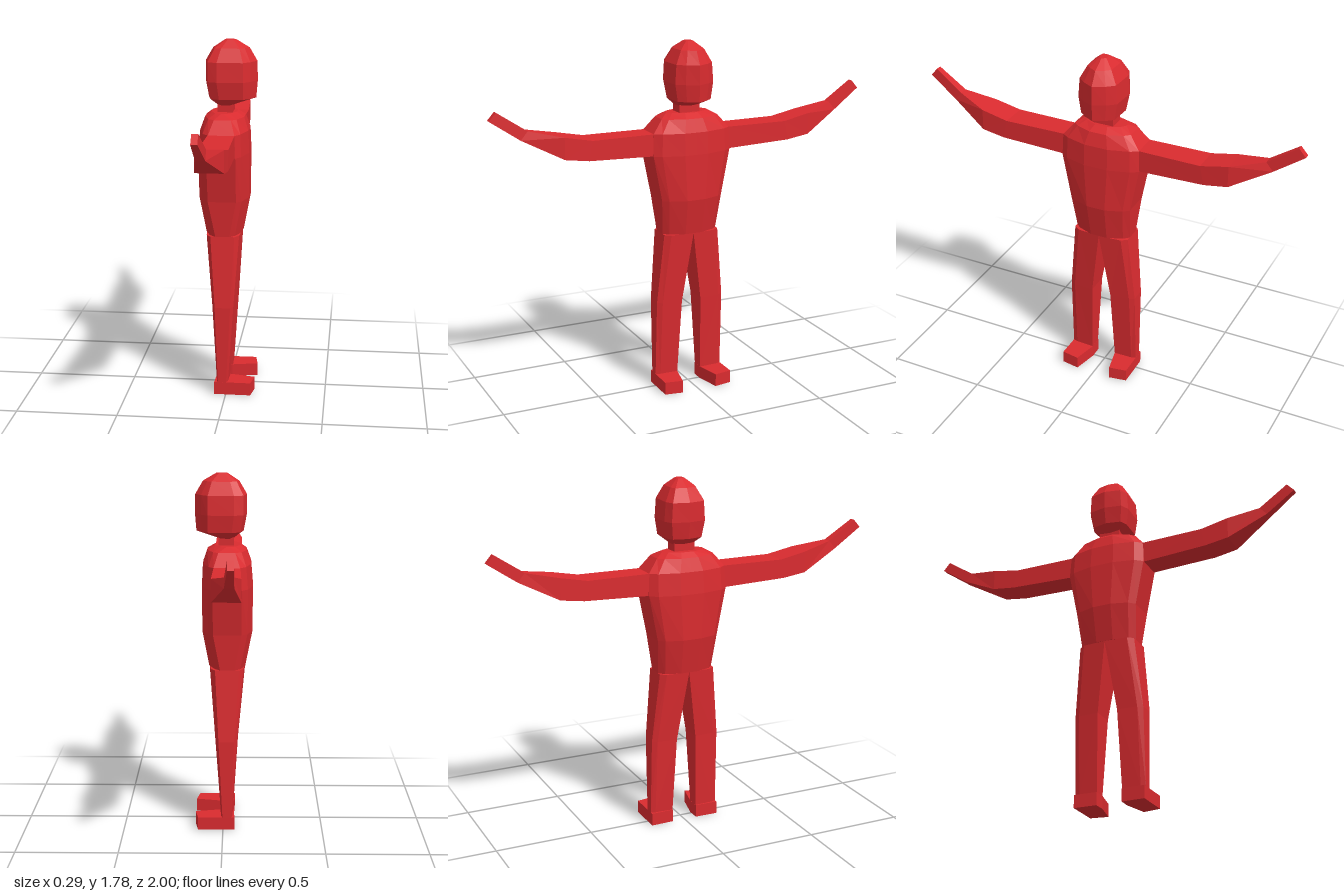
import * as THREE from 'three';

const material = new THREE.MeshStandardMaterial({ color: 0xd92b2f, flatShading: true });

// Skin a closed solid over rings of [x, y, z] points; faces are turned outward by signed volume
function loft(name, rings) {
  const tris = [];
  const n = rings[0].length;
  for (let r = 0; r + 1 < rings.length; r++) {
    for (let i = 0; i < n; i++) {
      const j = (i + 1) % n;
      const a = rings[r][i], b = rings[r][j], c = rings[r + 1][j], d = rings[r + 1][i];
      tris.push([a, b, c], [a, c, d]);
    }
  }
  const first = rings[0], last = rings[rings.length - 1];
  for (let i = 1; i + 1 < n; i++) {
    tris.push([first[0], first[i + 1], first[i]], [last[0], last[i], last[i + 1]]);
  }
  let volume = 0;
  for (const t of tris) {
    const [a, b, c] = t.map((p) => new THREE.Vector3(...p));
    volume += a.dot(b.cross(c));
  }
  if (volume < 0) tris.forEach((t) => t.reverse());
  const geometry = new THREE.BufferGeometry();
  geometry.setAttribute('position', new THREE.Float32BufferAttribute(tris.flat(2), 3));
  geometry.computeVertexNormals();
  const mesh = new THREE.Mesh(geometry, material);
  mesh.name = name;
  return mesh;
}

// Horizontal ring mirrored across z = 0 from half outline points [x, z], front to back
function mirroredRing(y, half) {
  const back = half.slice(1, -1).reverse().map(([x, z]) => [x, y, -z]);
  return [...half.map(([x, z]) => [x, y, z]), ...back];
}

// Half outline of the torso: front x, back x, half width
const bodyHalf = (front, back, w) => [
  [front, 0], [front, w * 0.3], [front - 0.03, w * 0.82], [front - 0.055, w],
  [back + 0.055, w], [back + 0.025, w * 0.82], [back, w * 0.3], [back, 0],
];

// Half outline of the head
const headHalf = (front, back, w) => {
  const at = (t) => back + (front - back) * t;
  return [[front, 0], [at(0.88), w * 0.57], [at(0.75), w * 0.95], [at(0.25), w],
    [at(0.07), w * 0.82], [back, 0]];
};

function leg(side) {
  // y, front x, back x, inner z, outer z
  const rows = [
    [0.03, 0.012, -0.05, 0.066, 0.184], [0.065, 0.013, -0.05, 0.066, 0.184],
    [0.46, 0.042, -0.075, 0.052, 0.182], [0.82, 0.07, -0.11, 0, 0.147],
  ];
  return loft('leg', rows.map(([y, f, b, zi, zo]) => {
    const d = (f - b) * 0.17, zm = zi + (zo - zi) * 0.8;
    return [[f, zi], [f - d * 0.3, zm], [f - d, zo], [b + d, zo], [b + d * 0.3, zm], [b, zi]]
      .map(([x, z]) => [x, y, side * z]);
  }));
}

function foot(side) {
  const outline = [[0.125, 0.185], [0.14, 0.094], [0.01, 0.065], [-0.055, 0.066], [-0.058, 0.184]];
  return loft('foot', [0, 0.065].map((y) => outline.map(([x, z]) => [x, y, side * z])));
}

function arm(side) {
  // top z, top y, bottom z, bottom y, back x, front x
  const rows = [
    [0.15, 1.34, 0.15, 1.23, -0.085, 0.045], [0.2, 1.34, 0.2, 1.23, -0.085, 0.045],
    [0.52, 1.34, 0.54, 1.243, -0.09, 0.05], [0.66, 1.368, 0.66, 1.26, -0.09, 0.046],
    [0.82, 1.402, 0.855, 1.36, -0.06, -0.015], [0.965, 1.5, 1, 1.46, -0.06, -0.03],
  ];
  return loft('arm', rows.map(([tz, ty, bz, by, x0, x1]) => [
    [x0, ty, side * tz], [x1, ty, side * tz], [x1, by, side * bz], [x0, by, side * bz],
  ]));
}

export function createModel() {
  const model = new THREE.Group();
  model.name = 'figure';

  // Torso from hips to shoulders: y, front x, back x, half width
  model.add(loft('torso', [
    [0.82, 0.07, -0.11, 0.147], [1.0, 0.104, -0.145, 0.162], [1.23, 0.105, -0.147, 0.207],
    [1.34, 0.1, -0.138, 0.203], [1.405, 0.078, -0.115, 0.15], [1.428, 0.04, -0.085, 0.11],
  ].map(([y, f, b, w]) => mirroredRing(y, bodyHalf(f, b, w)))));

  // Neck
  const neck = new THREE.Mesh(new THREE.BoxGeometry(0.075, 0.09, 0.11), material);
  neck.name = 'neck';
  neck.position.set(-0.015, 1.455, 0);
  model.add(neck);

  // Head, with the jaw underside tapering to the neck
  model.add(loft('head', [
    [1.46, 0.025, -0.05, 0.055], [1.495, 0.133, -0.1, 0.093], [1.58, 0.14, -0.116, 0.107],
    [1.675, 0.138, -0.116, 0.1], [1.74, 0.1, -0.078, 0.065], [1.778, 0.035, -0.02, 0.02],
  ].map(([y, f, b, w]) => mirroredRing(y, headHalf(f, b, w)))));

  // Limbs on both sides
  for (const side of [1, -1]) model.add(arm(side), leg(side), foot(side));

  return model;
}
